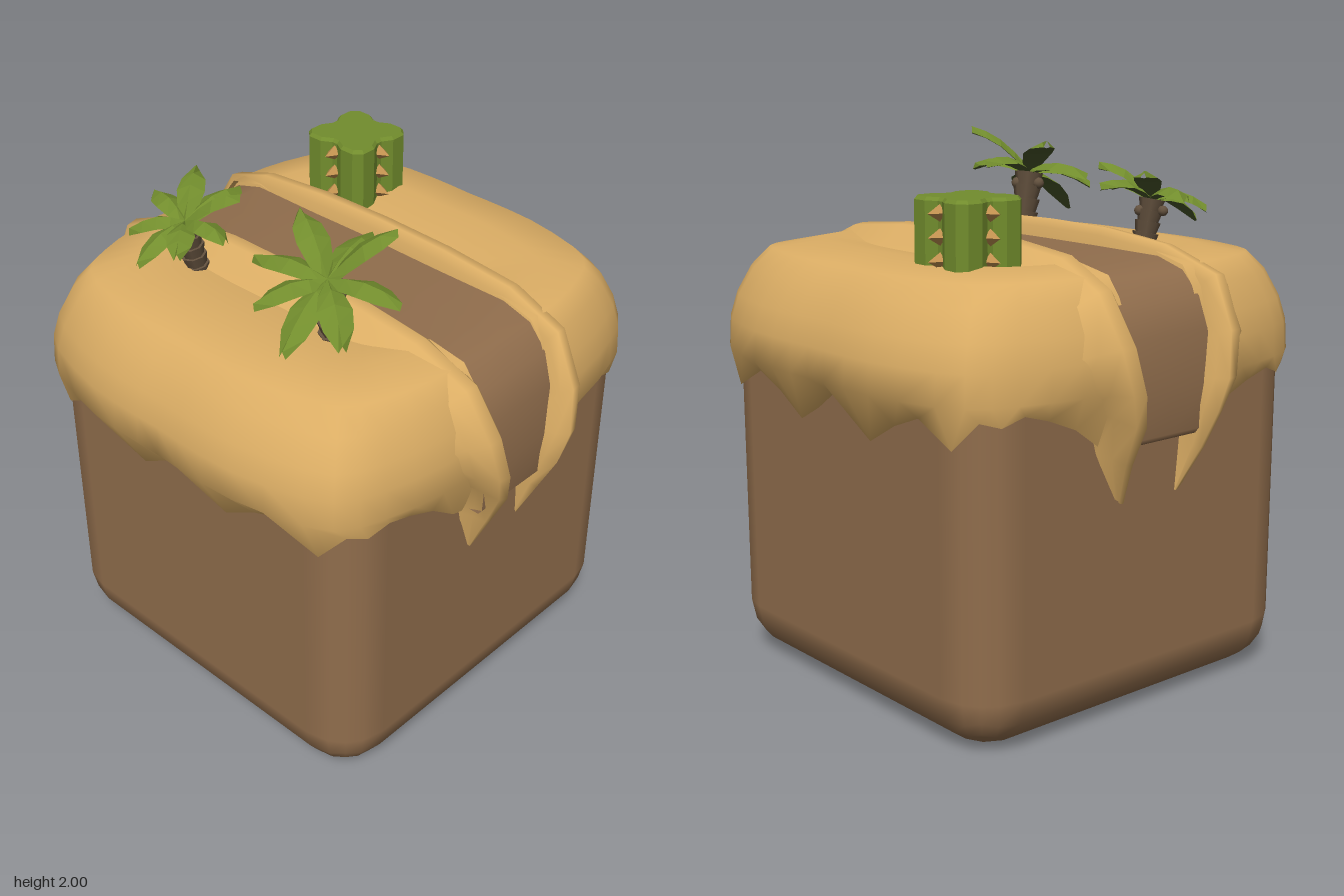
import * as THREE from 'three';
import { RoundedBoxGeometry } from 'three/addons/geometries/RoundedBoxGeometry.js';

const mat = (name, color, side = THREE.FrontSide) => {
  const m = new THREE.MeshStandardMaterial({ color, side });
  m.name = name;
  return m;
};

// Surface through a grid of points: columns run right, rows run up
function surface(rows, flip = false, flat = false) {
  const n = rows[0].length, idx = [];
  for (let r = 0; r < rows.length - 1; r++) {
    for (let c = 0; c < n - 1; c++) {
      const a = r * n + c, b = a + 1, d = b + n, e = a + n;
      idx.push(...(flip ? [a, d, b, a, e, d] : [a, b, d, a, d, e]));
    }
  }
  let g = new THREE.BufferGeometry();
  g.setAttribute('position', new THREE.Float32BufferAttribute(rows.flat(2), 3));
  g.setIndex(idx);
  if (flat) g = g.toNonIndexed();
  g.computeVertexNormals();
  return g;
}

// Front half of a list, followed by its mirror in z (fields given are negated)
const mirrorZ = (list, fields) => [...list, ...list.slice(0, -1).reverse()
  .map(p => p.map((v, i) => (fields.includes(i) ? -v : v)))];

export function createModel() {
  const model = new THREE.Group();
  model.name = 'desertBlock';
  const sand = mat('sand', 0xdcae65, THREE.DoubleSide);
  const dirt = mat('dirt', 0x906d4c, THREE.DoubleSide);
  const green = mat('leafGreen', 0x728d2d);
  const darkGreen = mat('darkGreen', 0x49572a);
  const bark = mat('bark', 0x63513e);
  const thorn = mat('thorn', 0xc0904f);

  const add = (name, geometry, material, parent = model) => {
    const mesh = new THREE.Mesh(geometry, material);
    mesh.name = name;
    parent.add(mesh);
    return mesh;
  };

  // Dirt cube
  add('dirtCube', new RoundedBoxGeometry(1.54, 1.4, 1.54, 2, 0.2), dirt).position.y = 0.7;

  // Dirt path over the top: [z, y] profile
  const pathProfile = mirrorZ([[0.76, 1.02], [0.84, 1.02], [0.855, 1.04], [0.862, 1.2], [0.845, 1.38],
    [0.8, 1.49], [0.72, 1.57], [0.6, 1.605], [0.3, 1.61], [0, 1.61]], [0]);
  add('dirtPath', surface(pathProfile.map(([z, y]) => [[-0.19, y, z], [0, y, z], [0.19, y, z]])), dirt);

  // Sand cap outline: [bulge x, bulge z, rim x, rim z, rim y]
  const outline = mirrorZ([
    [0.17, 0.85, 0.17, 0.78, 1.0], [0.26, 0.85, 0.25, 0.78, 1.02], [0.38, 0.84, 0.36, 0.78, 1.1],
    [0.5, 0.82, 0.48, 0.78, 1.15], [0.61, 0.79, 0.58, 0.78, 1.18], [0.7, 0.76, 0.66, 0.76, 1.15],
    [0.77, 0.71, 0.725, 0.725, 1.17], [0.82, 0.62, 0.77, 0.64, 1.07], [0.86, 0.48, 0.78, 0.48, 1.15],
    [0.885, 0.35, 0.78, 0.35, 1.1], [0.893, 0.22, 0.78, 0.21, 1.02], [0.893, 0.1, 0.78, 0.1, 1.08],
    [0.89, 0, 0.78, 0, 1.15]], [1, 3]);
  // [inward fraction, y] of each ring of the cap
  const rings = [[0, 1.22], [0.01, 1.33], [0.05, 1.42], [0.13, 1.52], [0.23, 1.59], [0.5, 1.62], [0.78, 1.59], [1, 1.575]];

  // Ridge beside the path, ending in drips: [z, y, inner x, outer x, depth]
  const ridge = mirrorZ([
    [0.77, 0.8, 0.12, 0.16, 0.005], [0.85, 0.96, 0.11, 0.21, 0.08], [0.92, 1.1, 0.11, 0.25, 0.15],
    [0.945, 1.22, 0.125, 0.32, 0.13], [0.92, 1.38, 0.15, 0.37, 0.11], [0.82, 1.56, 0.175, 0.38, 0.1],
    [0.6, 1.645, 0.18, 0.38, 0.08], [0.3, 1.675, 0.175, 0.38, 0.09], [0, 1.68, 0.18, 0.38, 0.1]], [0])
    // the drips at the back stand a little wider apart
    .map(([z, y, xi, xo, d]) => (z < -0.8 ? [z, y, xi + 0.03, xo + 0.05, d] : [z, y, xi, xo, d]));
  const ridgeSection = [[0, 1.3], [0.06, 0.3], [0.2, 0], [0.42, 0.08], [0.65, 0.6], [1, 1.1]];

  for (const s of [1, -1]) {
    const side = s > 0 ? 'left' : 'right';
    const rows = [outline.map(([, , x, z, y]) => [s * x, y, z])];
    for (const [f, y] of rings) {
      rows.push(outline.map(([x, z]) => [s * (x * (1 - f) + 0.2 * f), y, z * (1 - 0.6 * f)]));
    }
    add(side + 'SandCap', surface(rows, s < 0), sand);

    const ridgeRows = ridge.map(([z, y, xi, xo, depth], i) => {
      const a = ridge[Math.max(i - 1, 0)], b = ridge[Math.min(i + 1, ridge.length - 1)];
      const dz = b[0] - a[0], dy = b[1] - a[1], len = Math.hypot(dz, dy);
      return ridgeSection.map(([u, d]) =>
        [s * (xi + (xo - xi) * u), y + (dz / len) * depth * d, z - (dy / len) * depth * d]);
    });
    add(side + 'SandRidge', surface(ridgeRows, s < 0), sand);
  }

  // Palm frond: folded leaf with a darker underside
  const frondWidths = [0.016, 0.042, 0.056, 0.048, 0.012];
  function addFrond(parent, from, tip, scale) {
    const dir = tip.clone().sub(from);
    const across = new THREE.Vector3(-dir.z, 0, dir.x).normalize();
    const rowsFor = lift => frondWidths.map((w, i) => {
      const t = i / (frondWidths.length - 1);
      const c = from.clone().addScaledVector(dir, t);
      c.y += 0.03 * Math.sin(Math.PI * t);
      return [-1, 0, 1].map(k => {
        const p = c.clone().addScaledVector(across, k * w * scale);
        p.y += k === 0 ? lift : -0.012;
        return p.toArray();
      });
    });
    add('frondTop', surface(rowsFor(0.012), false, true), green, parent);
    add('frondUnderside', surface(rowsFor(-0.016), true, true), darkGreen, parent);
  }

  // Palm: leaning ringed trunk, nuts and fronds
  function addPalm(name, base, crown, scale, tips) {
    const palm = new THREE.Group();
    palm.name = name;
    model.add(palm);
    const axis = crown.clone().sub(base), count = 5;
    const h = axis.length() / count;
    for (let i = 0; i < count; i++) {
      const seg = add('trunkRing', new THREE.CylinderGeometry(0.054 * scale, 0.043 * scale, h, 8), bark, palm);
      seg.position.copy(base).addScaledVector(axis, (i + 0.4) / count);
      seg.quaternion.setFromUnitVectors(new THREE.Vector3(0, 1, 0), axis.clone().normalize());
    }
    for (let i = 0; i < 3; i++) {
      const a = i * 2.1 + 0.4;
      add('nut', new THREE.IcosahedronGeometry(0.022 * scale, 1), bark, palm)
        .position.set(crown.x + 0.05 * Math.cos(a), crown.y - 0.045, crown.z + 0.05 * Math.sin(a));
    }
    for (const t of tips) addFrond(palm, crown, new THREE.Vector3(...t), scale);
  }

  addPalm('frontPalm', new THREE.Vector3(-0.35, 1.57, 0.32), new THREE.Vector3(-0.4, 1.825, 0.33), 1.05, [
    [-0.45, 1.82, 0.04], [-0.28, 1.95, 0.09], [-0.13, 1.87, 0.28], [-0.22, 1.99, 0.47],
    [-0.35, 1.83, 0.61], [-0.54, 1.72, 0.53], [-0.64, 1.67, 0.36], [-0.61, 1.77, 0.2]]);
  addPalm('backPalm', new THREE.Vector3(-0.36, 1.57, -0.35), new THREE.Vector3(-0.4, 1.775, -0.36), 0.9, [
    [-0.34, 1.79, -0.59], [-0.22, 1.88, -0.49], [-0.16, 1.83, -0.33], [-0.28, 1.89, -0.2],
    [-0.42, 1.8, -0.13], [-0.54, 1.74, -0.25], [-0.61, 1.69, -0.38], [-0.53, 1.74, -0.51]]);

  // Cactus: notched square column
  const cactus = new THREE.Group();
  cactus.name = 'cactus';
  cactus.position.set(0.455, 1.56, -0.34);
  model.add(cactus);
  const quarter = [[0.108, -0.014], [0.108, 0.014], [0.131, 0.055], [0.131, 0.107], [0.107, 0.131], [0.055, 0.131]];
  const plan = [];
  for (let q = 0; q < 4; q++) {
    for (const [x, y] of quarter) plan.push(new THREE.Vector2(x, y).rotateAround(new THREE.Vector2(), q * Math.PI / 2));
  }
  const column = new THREE.ExtrudeGeometry(new THREE.Shape(plan),
    { depth: 0.268, bevelThickness: 0.012, bevelSize: 0.01, bevelSegments: 1 });
  add('cactusColumn', column.rotateX(-Math.PI / 2), green, cactus);

  // Thorns: three on each face
  const thornGeometry = new THREE.ConeGeometry(0.034, 0.06, 4).toNonIndexed();
  thornGeometry.computeVertexNormals();
  thornGeometry.rotateZ(-Math.PI / 2).translate(0.14, 0, 0);
  for (let q = 0; q < 4; q++) {
    for (const y of [0.07, 0.15, 0.23]) {
      const t = add('thorn', thornGeometry, thorn, cactus);
      t.position.y = y;
      t.rotation.y = q * Math.PI / 2;
    }
  }
  return model;
}
